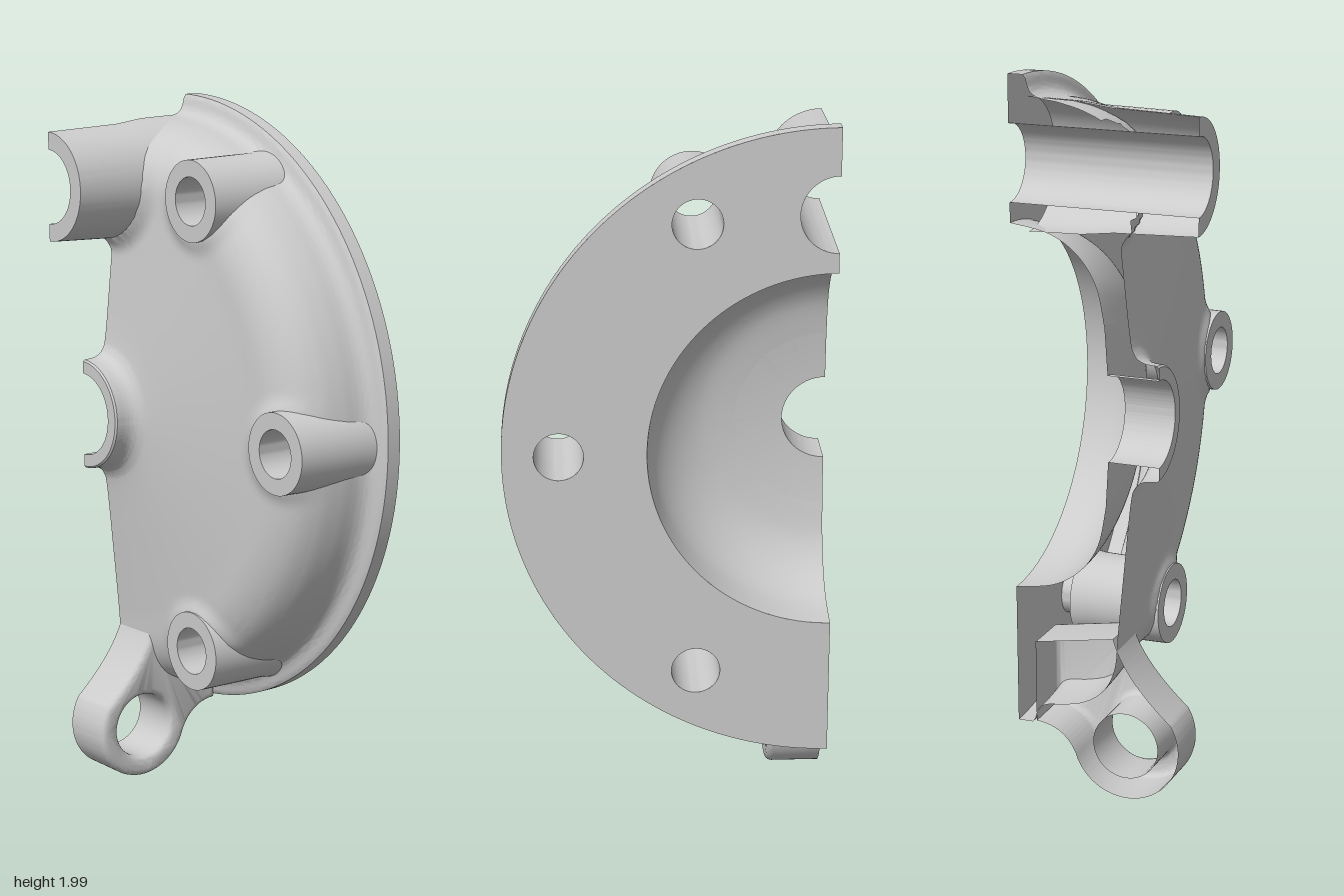
import * as THREE from 'three';
import { toCreasedNormals } from 'three/addons/utils/BufferGeometryUtils.js';

const V = (x, y) => new THREE.Vector2(x, y);
const BACK = -0.265, RIM = 0.905, CAVITY = 0.51;

// Bosses in the cover's own frame: origin on the cover axis, cut plane at x = 0
const PORT = { x: 0, y: 0.67, outer: 0.16, bore: 0.105, fillet: 0.035 };
const BOLTS = [-60, 0, 60].map(d => {
  const a = THREE.MathUtils.degToRad(d);
  return { x: 0.75 * Math.cos(a), y: 0.75 * Math.sin(a), outer: 0.115, bore: 0.068, fillet: 0.015 };
});
const BOSSES = [PORT, ...BOLTS];

// Split long profile segments so that the surface is fine enough to trim
function subdivide(points, step) {
  const out = [points[0]];
  for (let i = 1; i < points.length; i++) {
    const a = points[i - 1], b = points[i];
    const n = Math.max(1, Math.ceil(a.distanceTo(b) / step));
    for (let k = 1; k <= n; k++) out.push(a.clone().lerp(b, k / n));
  }
  return out;
}

const smooth = pts => new THREE.SplineCurve(pts.map(p => V(...p))).getPoints(pts.length * 6);

// Revolve a (radius, z) profile about z; a half turn covers x >= 0
function revolve(points, segments, half) {
  const g = new THREE.LatheGeometry(points, segments, 0, half ? Math.PI : Math.PI * 2);
  return g.rotateX(Math.PI / 2);
}

// Keep only the triangles whose centre passes the test
function trim(geometry, keep) {
  const src = geometry.index ? geometry.toNonIndexed() : geometry;
  const p = src.attributes.position, out = [];
  const c = new THREE.Vector3(), v = new THREE.Vector3();
  for (let i = 0; i < p.count; i += 3) {
    c.set(0, 0, 0);
    for (let k = 0; k < 3; k++) c.add(v.fromBufferAttribute(p, i + k));
    if (!keep(c.divideScalar(3))) continue;
    for (let k = 0; k < 3; k++) out.push(p.getX(i + k), p.getY(i + k), p.getZ(i + k));
  }
  const g = new THREE.BufferGeometry();
  g.setAttribute('position', new THREE.Float32BufferAttribute(out, 3));
  return g;
}

// Front shell: rim, rounded wall, shallow dome and central hub
function shellGeometry() {
  const profile = [
    V(RIM, BACK), V(RIM, -0.222),
    ...smooth([[0.895, -0.215], [0.862, -0.203], [0.846, -0.175], [0.838, -0.12], [0.82, -0.06],
      [0.78, -0.008], [0.71, 0.025], [0.6, 0.036], [0.4, 0.056], [0.23, 0.074], [0.185, 0.086],
      [0.165, 0.11], [0.16, 0.15]]),
    V(0.155, 0.155), V(0.12, 0.155), V(0.12, 0.01),
  ];
  const g = revolve(subdivide(profile, 0.02), 160, true);
  // Raise a soft fillet round each boss
  const p = g.attributes.position;
  for (let i = 0; i < p.count; i++) {
    if (p.getZ(i) < -0.1) continue;
    for (const b of BOSSES) {
      const d = Math.hypot(p.getX(i) - b.x, p.getY(i) - b.y) - b.outer;
      const w = THREE.MathUtils.clamp(1 - d / 0.05, 0, 1);
      const fade = THREE.MathUtils.smoothstep(p.getZ(i), -0.1, 0.02);
      p.setZ(i, p.getZ(i) + b.fillet * w * w * fade);
    }
  }
  // Clear the bores; the boss walls cover the trimmed edge
  return trim(g, c => BOSSES.every(b => Math.hypot(c.x - b.x, c.y - b.y) > b.bore + 0.025));
}

// Flat back face: half ring with bolt holes and the port notch
function backGeometry() {
  const h = Math.PI / 2, s = new THREE.Shape();
  s.moveTo(0, -RIM).absarc(0, 0, RIM, -h, h, false);
  s.lineTo(0, PORT.y + PORT.bore).absarc(0, PORT.y, PORT.bore, h, -h, true);
  s.lineTo(0, CAVITY).absarc(0, 0, CAVITY, h, -h, true);
  s.closePath();
  for (const b of BOLTS) s.holes.push(new THREE.Path().absarc(b.x, b.y, b.bore, 0, Math.PI * 2, true));
  return new THREE.ShapeGeometry(s, 64).translate(0, 0, BACK);
}

// Hinge lug drawn in the (-z, y) plane, open on the cut plane
function lugGeometry() {
  const cx = -0.055, cy = 0.16 - 1.095, r = 0.155;
  const s = new THREE.Shape();
  s.absarc(cx, cy, r, Math.PI - 0.55, Math.PI * 2 - 0.3, false);
  s.quadraticCurveTo(0.125, cy + 0.03, 0.21, cy + 0.035);
  s.lineTo(0.21, cy + 0.27);
  s.lineTo(-0.02, cy + 0.31);
  s.quadraticCurveTo(-0.05, cy + 0.2, cx - r * Math.cos(0.55), cy + r * Math.sin(0.55));
  s.holes.push(new THREE.Path().absarc(cx, cy, 0.095, 0, Math.PI * 2, true));
  const g = new THREE.ExtrudeGeometry(s, {
    depth: 0.27, steps: 2, curveSegments: 32,
    bevelThickness: 0.02, bevelSize: 0.02, bevelOffset: -0.02, bevelSegments: 4,
  });
  g.translate(0, 0, -0.135).rotateY(Math.PI / 2);
  return trim(g, c => c.x > 0);
}

export function createModel() {
  const group = new THREE.Group();
  group.name = 'halfCover';
  const material = new THREE.MeshStandardMaterial({ color: 0xcccccc, side: THREE.DoubleSide });
  const add = (name, geometry, x = 0, y = 0) => {
    const mesh = new THREE.Mesh(toCreasedNormals(geometry, 0.6), material);
    mesh.name = name;
    mesh.position.set(x - 0.4525, y + 1.095, 0);
    group.add(mesh);
  };

  add('coverShell', shellGeometry());
  add('backFace', backGeometry());

  // Domed hollow behind the cover
  add('cavity', revolve([V(0.12, 0.01), ...smooth([[0.25, 0.002], [0.36, -0.022], [0.44, -0.075],
    [0.49, -0.155], [CAVITY, BACK]])], 96, true));

  // Half port with its through bore
  add('portBoss', revolve([V(0.178, -0.21), V(0.174, -0.06), V(0.163, 0.03), V(0.155, 0.265),
    V(PORT.bore, 0.265), V(PORT.bore, BACK)], 48, true), PORT.x, PORT.y);

  // Bolt bosses with through holes
  for (const b of BOLTS) {
    add('boltBoss', revolve([V(0.125, -0.215), V(0.119, -0.17), V(b.outer, 0.05),
      V(b.bore, 0.05), V(b.bore, BACK)], 48, false), b.x, b.y);
  }

  add('hingeLug', lugGeometry());
  return group;
}
